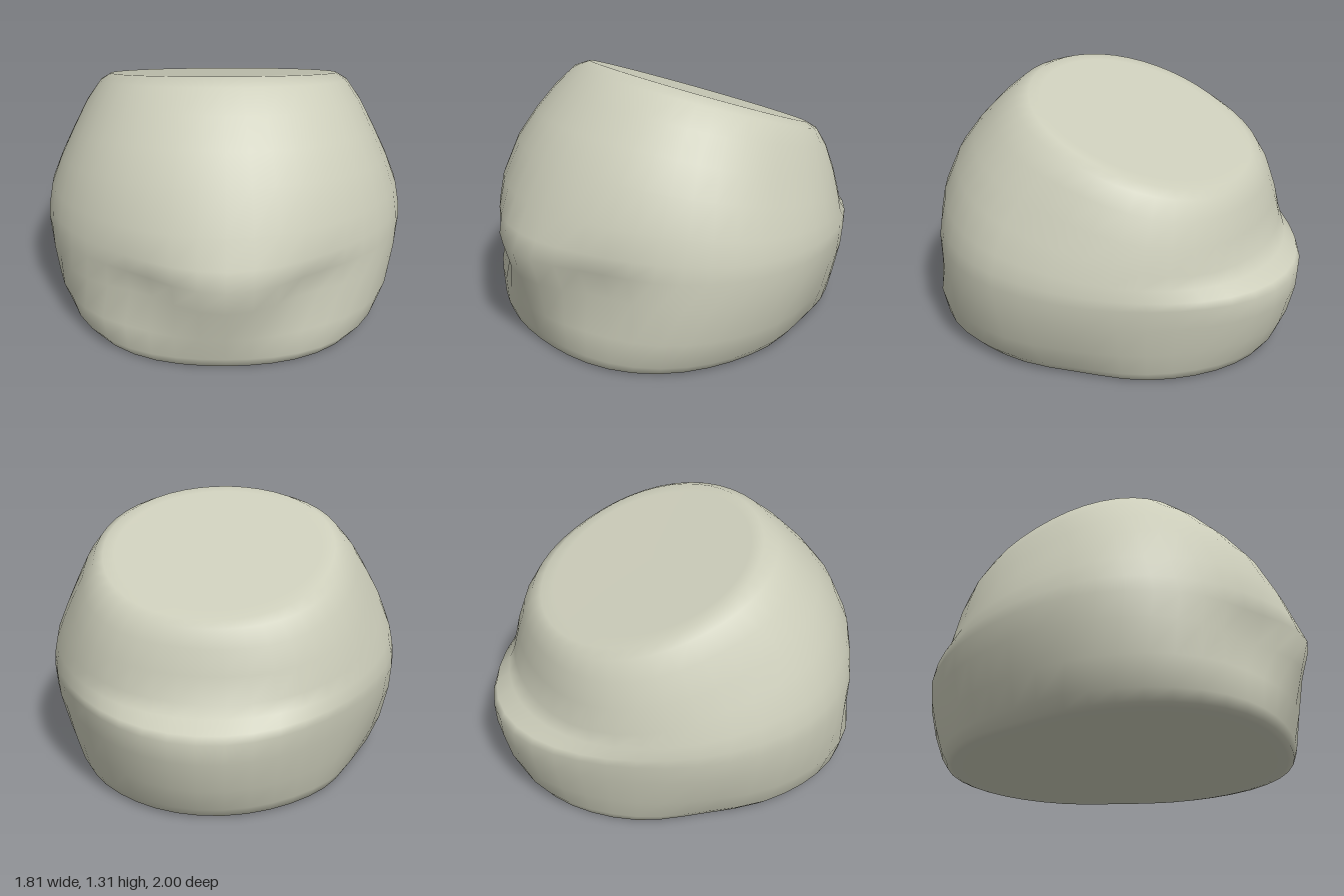
import * as THREE from 'three';

const SEGMENTS = 44;

// Tilted cross-sections, bottom to top:
// front z, front y, back z, back y, half width, z of the widest point,
// then how far the front and back diagonals are pinched in (negative swells)
const RINGS = [
  [0.04, 0, 0.04, 0, 0, 0.04, 0, 0],
  [0.78, 0, -0.78, 0, 0.69, 0.04, -0.06, 0.02],
  [0.84, 0, -0.85, 0, 0.745, 0.04, -0.065, 0.02],
  [0.87, 0.01, -0.875, 0.01, 0.78, 0.05, -0.065, 0.02],
  [0.885, 0.06, -0.91, 0.06, 0.825, 0.06, -0.065, 0.035],
  [0.92, 0.2, -0.96, 0.18, 0.873, 0.09, -0.045, 0.05],
  [0.965, 0.38, -0.995, 0.33, 0.9, 0.11, 0, 0.045],
  [1.0, 0.52, -1.0, 0.43, 0.907, 0.12, 0.03, 0.04],
  [0.96, 0.61, -0.975, 0.465, 0.9, 0.12, 0.03, 0.025],
  [0.9, 0.75, -0.89, 0.505, 0.88, 0.11, 0.02, 0],
  [0.8, 0.94, -0.84, 0.56, 0.825, 0.09, 0.01, -0.04],
  [0.69, 1.075, -0.805, 0.68, 0.76, 0.04, 0, -0.055],
  [0.57, 1.195, -0.77, 0.8, 0.695, -0.03, -0.01, -0.05],
  [0.46, 1.285, -0.73, 0.88, 0.63, -0.1, -0.02, -0.035],
  [0.39, 1.309, -0.69, 0.908, 0.58, -0.13, -0.01, -0.01],
  [0.34, 1.29, -0.63, 0.93, 0.52, -0.13, 0, 0],
  [-0.13, 1.115, -0.13, 1.115, 0, -0.13, 0, 0],
];

const bump = (u, v) => Math.exp(-u * u - v * v);

function ringPoint([zf, yf, zb, yb, width, zMid, pinchFront, pinchBack], angle) {
  const c = Math.cos(angle);
  const front = c > 0;
  const k = 1 - (front ? pinchFront : pinchBack) * Math.sin(2 * angle) ** 2;
  let x = k * width * Math.sin(angle);
  let z = zMid + k * c * (front ? zf - zMid : zMid - zb);
  const y = yb + ((yf - yb) * (z - zb)) / (zf - zb || 1);
  // Paired hollows low on the front
  if (front) {
    const hollow = 1 - 0.09 * bump((Math.abs(x) - 0.42) / 0.23, (y - 0.39) / 0.17);
    x *= hollow;
    z *= hollow;
  }
  // Shallow waist low on each side
  x *= 1 - 0.06 * bump((z + 0.25) / 0.25, y / 0.25);
  return [x, y, z];
}

function boulderGeometry() {
  const positions = [];
  const indices = [];
  RINGS.forEach((ring, i) => {
    for (let j = 0; j < SEGMENTS; j++) {
      positions.push(...ringPoint(ring, (j / SEGMENTS) * Math.PI * 2));
      if (i === RINGS.length - 1) continue;
      const a = i * SEGMENTS + j;
      const b = i * SEGMENTS + ((j + 1) % SEGMENTS);
      indices.push(a, b, b + SEGMENTS, a, b + SEGMENTS, a + SEGMENTS);
    }
  });
  const geometry = new THREE.BufferGeometry();
  geometry.setAttribute('position', new THREE.Float32BufferAttribute(positions, 3));
  geometry.setIndex(indices);
  geometry.computeVertexNormals();
  return geometry;
}

export function createModel() {
  const stone = new THREE.MeshStandardMaterial({ color: 0xcccdba });
  stone.name = 'paleStone';

  const boulder = new THREE.Mesh(boulderGeometry(), stone);
  boulder.name = 'boulder';

  const model = new THREE.Group();
  model.name = 'rock';
  model.add(boulder);
  return model;
}
